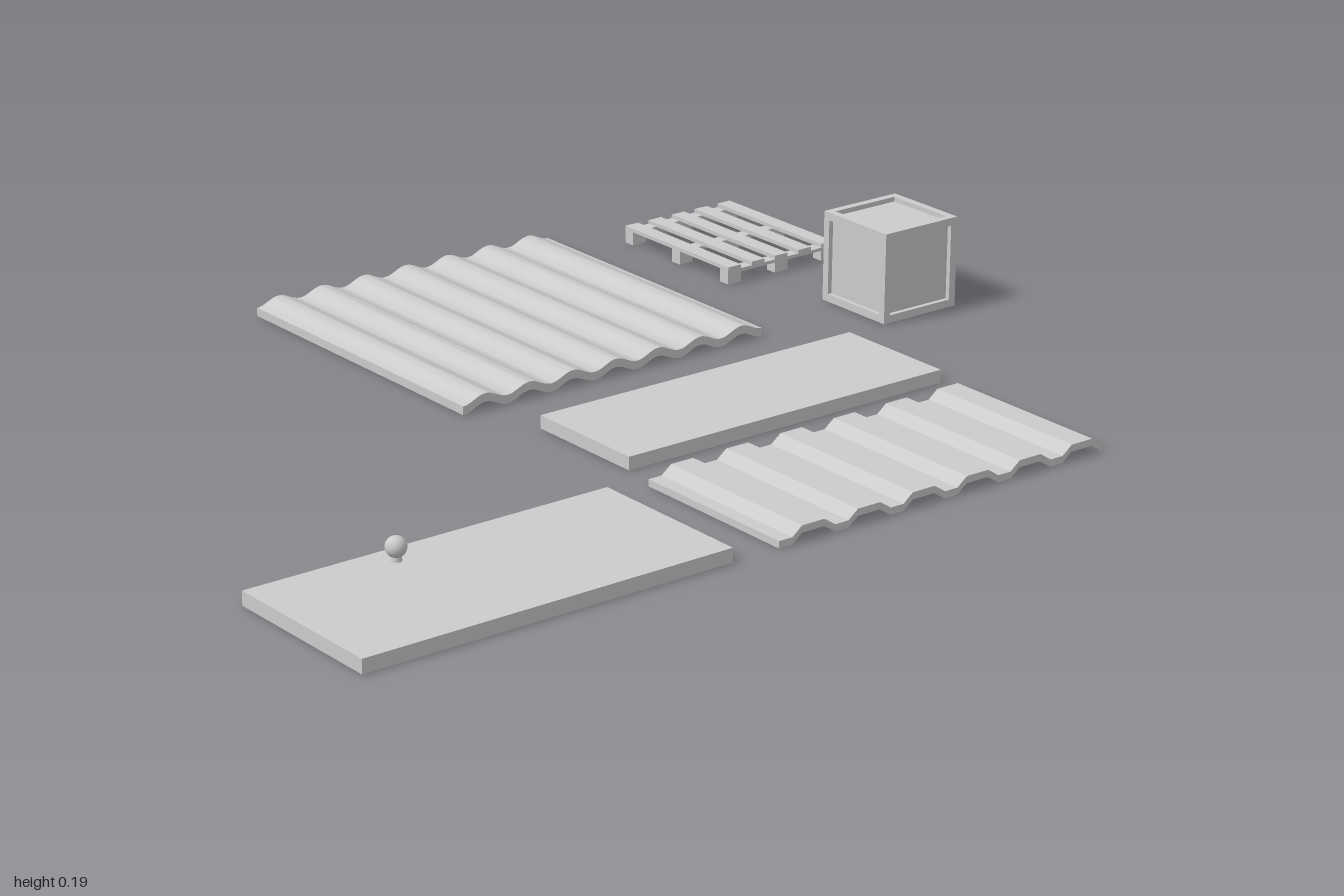
import * as THREE from 'three';
import { toCreasedNormals } from 'three/addons/utils/BufferGeometryUtils.js';

const material = new THREE.MeshStandardMaterial({ color: 0xcccccc });

function add(parent, name, geometry) {
  const mesh = new THREE.Mesh(geometry, material);
  mesh.name = name;
  parent.add(mesh);
  return mesh;
}

// Box given by its limits on each axis
function box(parent, name, [x0, x1], [y0, y1], [z0, z1]) {
  const mesh = add(parent, name, new THREE.BoxGeometry(x1 - x0, y1 - y0, z1 - z0));
  mesh.position.set((x0 + x1) / 2, (y0 + y1) / 2, (z0 + z1) / 2);
  return mesh;
}

// Sheet of even thickness whose underside follows [z, y] points, swept along x
function sheet(parent, name, [x0, x1], points, thickness) {
  const outline = [
    ...points.map(([z, y]) => new THREE.Vector2(z, y)),
    ...points.map(([z, y]) => new THREE.Vector2(z, y + thickness)).reverse(),
  ];
  const geometry = new THREE.ExtrudeGeometry(new THREE.Shape(outline), { depth: x1 - x0, bevelEnabled: false });
  geometry.rotateY(-Math.PI / 2).translate(x1, 0, 0);
  return add(parent, name, toCreasedNormals(geometry, 0.35));
}

function createCrate() {
  const crate = new THREE.Group();
  crate.name = 'crate';
  const size = 0.19, bar = 0.016, h = size / 2, inset = 0.01;
  const inner = size - 2 * inset;
  add(crate, 'cratePanels', new THREE.BoxGeometry(inner, inner, inner));
  // Twelve edge bars; those along y fill the corners
  for (const a of [-1, 1]) for (const b of [-1, 1]) {
    const p = a * (h - bar / 2), q = b * (h - bar / 2);
    add(crate, 'crateBar', new THREE.BoxGeometry(bar, size, bar)).position.set(p, 0, q);
    add(crate, 'crateBar', new THREE.BoxGeometry(size - 2 * bar, bar, bar)).position.set(0, p, q);
    add(crate, 'crateBar', new THREE.BoxGeometry(bar, bar, size - 2 * bar)).position.set(p, q, 0);
  }
  crate.position.set(-0.083, h, -0.905);
  return crate;
}

function createPallet() {
  const pallet = new THREE.Group();
  pallet.name = 'pallet';
  const x0 = -0.71, x1 = -0.366, z0 = -1, z1 = -0.715;
  const slat = 0.034, runner = 0.026;
  for (let i = 0; i < 5; i++) {
    const z = z0 + (z1 - z0 - slat) * i / 4;
    box(pallet, 'palletSlat', [x0, x1], [0.029, 0.037], [z, z + slat]);
  }
  for (let i = 0; i < 3; i++) {
    const x = x0 + (x1 - x0 - runner) * i / 2;
    box(pallet, 'palletRunner', [x, x + runner], [0.022, 0.029], [z0, z1]);
    for (let j = 0; j < 3; j++) {
      const z = z0 + (z1 - z0 - slat) * j / 2;
      box(pallet, 'palletBlock', [x, x + runner], [0, 0.022], [z, z + slat]);
    }
  }
  return pallet;
}

function createDoor() {
  const door = new THREE.Group();
  door.name = 'door';
  box(door, 'doorPanel', [0.428, 0.785], [0, 0.028], [0.215, 1]);
  const stem = add(door, 'doorKnobStem', new THREE.CylinderGeometry(0.008, 0.012, 0.02, 16));
  stem.position.set(0.478, 0.034, 0.715);
  const knob = add(door, 'doorKnob', new THREE.SphereGeometry(0.02, 24, 16));
  knob.position.set(0.478, 0.054, 0.715);
  return door;
}

export function createModel() {
  const model = new THREE.Group();
  model.name = 'buildingMaterials';
  model.add(createCrate(), createPallet(), createDoor());
  box(model, 'plainPanel', [0.062, 0.332], [0, 0.027], [-0.675, 0.09]);

  // Rounded corrugated sheet, seven waves from valley to valley
  const wave = [];
  const steps = 7 * 16;
  for (let i = 0; i <= steps; i++) {
    const t = i / steps;
    wave.push([-0.57 + 0.735 * t, 0.0078 * (1 - Math.cos(t * 7 * Math.PI * 2))]);
  }
  sheet(model, 'wavySheet', [-0.79, -0.083], wave, 0.0174);

  // Angular corrugated sheet, six trapezoid ribs
  const ribs = [];
  const pitch = 0.13, rise = 0.017;
  for (let i = 0; i < 6; i++) {
    for (const [f, y] of [[0, 0], [0.2, rise], [0.6, rise], [0.77, 0]]) {
      ribs.push([-0.67 + (i + f) * pitch, y]);
    }
  }
  ribs.push([0.11, 0]);
  sheet(model, 'ribbedSheet', [0.415, 0.785], ribs, 0.014);
  return model;
}
